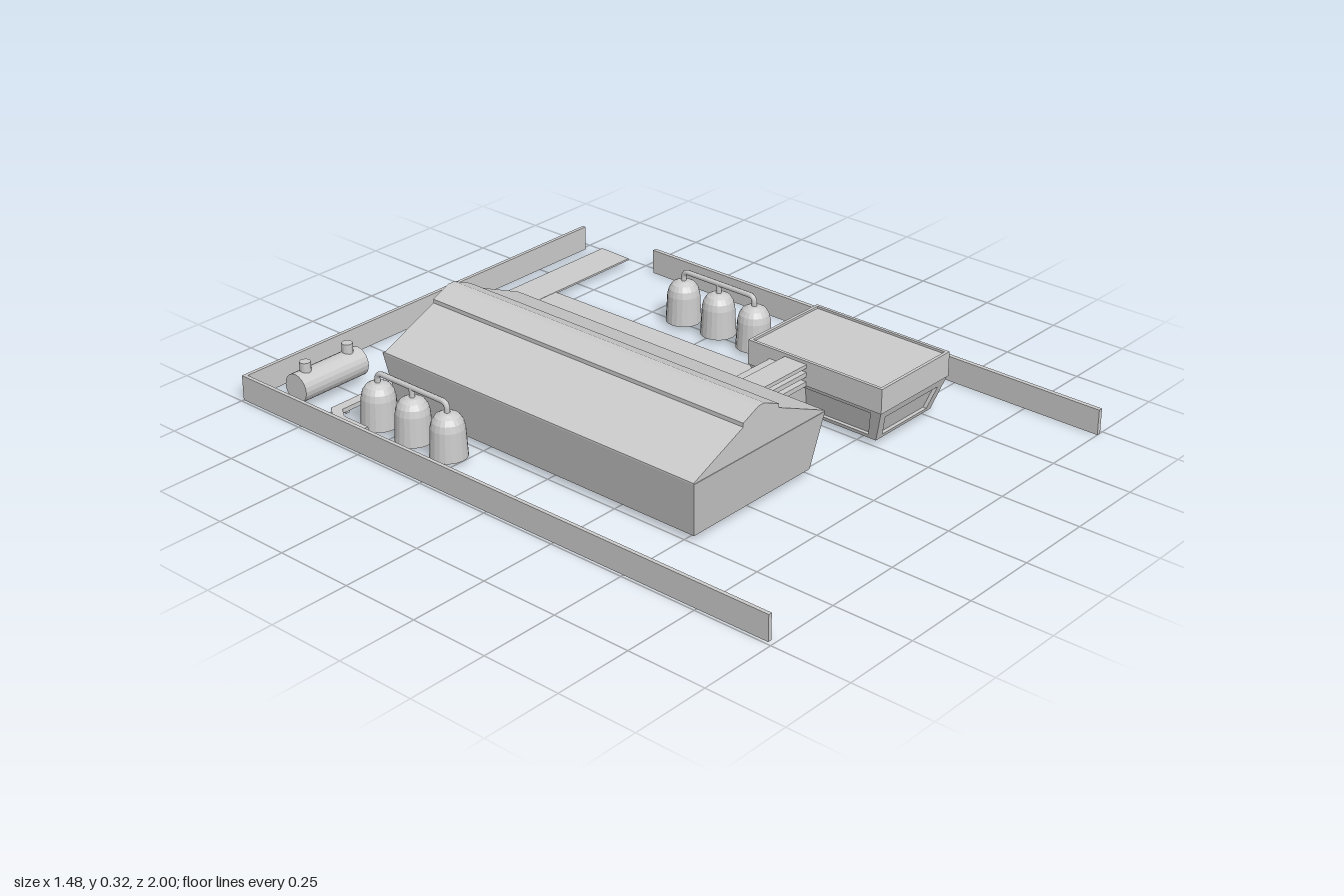
import * as THREE from 'three';

const mat = new THREE.MeshStandardMaterial({ color: 0xcccccc, flatShading: true, side: THREE.DoubleSide });
const smooth = new THREE.MeshStandardMaterial({ color: 0xcccccc, side: THREE.DoubleSide });

function add(parent, name, geo, m = mat) {
  const mesh = new THREE.Mesh(geo, m);
  mesh.name = name;
  parent.add(mesh);
  return mesh;
}

// Box given by its extents along each axis
function box(parent, name, x0, x1, y0, y1, z0, z1) {
  const g = new THREE.BoxGeometry(x1 - x0, y1 - y0, z1 - z0);
  g.translate((x0 + x1) / 2, (y0 + y1) / 2, (z0 + z1) / 2);
  return add(parent, name, g);
}

// Box whose base is drawn in by dx and dz
function taperedBox(parent, name, x0, x1, y0, y1, z0, z1, dx, dz) {
  const mesh = box(parent, name, x0, x1, y0, y1, z0, z1);
  const p = mesh.geometry.attributes.position;
  for (let i = 0; i < p.count; i++) {
    if (p.getY(i) > (y0 + y1) / 2) continue;
    p.setX(i, p.getX(i) + (p.getX(i) < (x0 + x1) / 2 ? dx : -dx));
    p.setZ(i, p.getZ(i) + (p.getZ(i) < (z0 + z1) / 2 ? dz : -dz));
  }
  mesh.geometry.computeVertexNormals();
  return mesh;
}

const shapeOf = (pts) => new THREE.Shape(pts.map(([x, y]) => new THREE.Vector2(x, y)));

// Flat plate drawn in plan as [x, z], with its top at y
function plate(parent, name, pts, y, depth) {
  const g = new THREE.ExtrudeGeometry(shapeOf(pts), { depth, bevelEnabled: false });
  g.rotateX(Math.PI / 2).translate(0, y, 0);
  return add(parent, name, g);
}

// Sloping wall with a trapezoid window, facing +z before it is turned
function windowWall(parent, halfB, halfT, outB, outT, winTop, angle) {
  const y0 = 0.02, y1 = 0.13;
  const s = shapeOf([[-halfB, y0], [halfB, y0], [halfT, y1], [-halfT, y1]]);
  const a = halfB - 0.025, b = halfB - 0.005;
  s.holes.push(shapeOf([[-a, 0.032], [-b, winTop], [b, winTop], [a, 0.032]]));
  const g = new THREE.ExtrudeGeometry(s, { depth: 0.012, bevelEnabled: false });
  const p = g.attributes.position;
  for (let i = 0; i < p.count; i++) {
    const t = (p.getY(i) - y0) / (y1 - y0);
    p.setZ(i, p.getZ(i) - 0.012 + outB + (outT - outB) * t);
  }
  g.computeVertexNormals();
  add(parent, 'windowWall', g).rotation.y = angle;
}

function mainHall() {
  const g = new THREE.Group();
  g.name = 'mainHall';
  taperedBox(g, 'hallWalls', -0.525, 0.025, 0.02, 0.197, -0.625, 0.555, 0.03, 0.025);
  // Gabled roof with a raised ridge section
  const half = [[0.275, 0.195], [0.275, 0.2], [0.075, 0.286], [0.075, 0.298], [0.012, 0.325]];
  const pts = [...half, ...half.map(([x, y]) => [-x, y]).reverse()];
  const roof = new THREE.ExtrudeGeometry(shapeOf(pts), { depth: 1.17, bevelEnabled: false });
  add(g, 'hallRoof', roof.translate(-0.25, 0, -0.617));
  // Side gate, rear door and stepped side equipment
  box(g, 'sideGate', -0.01, 0.05, 0.02, 0.11, -0.365, 0.08);
  box(g, 'rearDoor', -0.17, -0.05, 0.02, 0.11, -0.63, -0.58);
  for (let i = 0; i < 4; i++) {
    const z = -0.602 + i * 0.042;
    box(g, 'sideUnit', -0.01, 0.062 - (i % 2) * 0.006, 0.02, i === 2 ? 0.11 : 0.075, z, z + 0.038);
  }
  return g;
}

function annex() {
  const g = new THREE.Group();
  g.name = 'annex';
  for (let i = 0; i < 4; i++) {
    const args = i % 2 ? [0.205, 0.24, 0.13, 0.158, 0.115] : [0.13, 0.158, 0.205, 0.24, 0.102];
    windowWall(g, ...args, i * Math.PI / 2);
  }
  taperedBox(g, 'annexCore', -0.145, 0.145, 0.02, 0.13, -0.226, 0.226, 0.028, 0.034);
  // Flat roof behind a low parapet
  box(g, 'annexRoof', -0.158, 0.158, 0.127, 0.198, -0.238, 0.238);
  for (const s of [-1, 1]) {
    const x = s * 0.155, z = s * 0.2365;
    box(g, 'parapet', x - 0.005, x + 0.005, 0.127, 0.205, -0.2415, 0.2415);
    box(g, 'parapet', -0.16, 0.16, 0.127, 0.205, z - 0.005, z + 0.005);
  }
  g.position.set(0.38, 0, 0.3615);
  return g;
}

function bridge() {
  const g = new THREE.Group();
  g.name = 'linkBridge';
  taperedBox(g, 'bridgeBody', 0.0, 0.26, 0.02, 0.125, 0.215, 0.32, 0, 0.015);
  box(g, 'bridgeDeck', 0.0, 0.24, 0.125, 0.14, 0.2, 0.335);
  box(g, 'bridgeRail', 0.0, 0.24, 0.155, 0.17, 0.2, 0.25);
  box(g, 'bridgeRail', 0.0, 0.24, 0.155, 0.17, 0.285, 0.335);
  box(g, 'bridgeRoof', 0.0, 0.24, 0.183, 0.195, 0.255, 0.335);
  return g;
}

// Three domed tanks joined by an overhead pipe
function tankRow(x, zMid) {
  const g = new THREE.Group();
  g.name = 'tankRow';
  const profile = [[0, 0.015], [0.056, 0.015], [0.051, 0.105], [0.046, 0.125], [0.036, 0.14], [0.02, 0.149], [0, 0.151]];
  const tank = new THREE.LatheGeometry(profile.map(([r, y]) => new THREE.Vector2(r, y)), 20);
  for (const i of [-1, 0, 1]) add(g, 'tank', tank, mat).position.z = i * 0.141;
  const path = new THREE.CurvePath();
  const v = (y, z) => new THREE.Vector3(0, y, z);
  path.add(new THREE.LineCurve3(v(0.14, -0.141), v(0.16, -0.141)));
  path.add(new THREE.QuadraticBezierCurve3(v(0.16, -0.141), v(0.18, -0.141), v(0.18, -0.12)));
  path.add(new THREE.LineCurve3(v(0.18, -0.12), v(0.18, 0.12)));
  path.add(new THREE.QuadraticBezierCurve3(v(0.18, 0.12), v(0.18, 0.141), v(0.16, 0.141)));
  path.add(new THREE.LineCurve3(v(0.16, 0.141), v(0.14, 0.141)));
  add(g, 'overheadPipe', new THREE.TubeGeometry(path, 48, 0.0085, 8), smooth);
  add(g, 'middlePipe', new THREE.CylinderGeometry(0.0085, 0.0085, 0.04, 8).translate(0, 0.16, 0), smooth);
  g.position.set(x, 0, zMid);
  return g;
}

function lyingTank() {
  const g = new THREE.Group();
  g.name = 'lyingTank';
  add(g, 'tankBody', new THREE.CylinderGeometry(0.045, 0.045, 0.245, 20).rotateZ(Math.PI / 2));
  for (const s of [-1, 1])
    add(g, 'tankCap', new THREE.CylinderGeometry(0.017, 0.017, 0.04, 14).translate(s * 0.082, 0.053, 0));
  g.position.set(-0.552, 0.066, -0.84);
  return g;
}

export function createModel() {
  const model = new THREE.Group();
  model.name = 'industrialCompound';

  // Perimeter walls
  box(model, 'leftPerimeterWall', 0.724, 0.738, 0, 0.08, -0.695, 1);
  box(model, 'rightPerimeterWall', -0.741, -0.729, 0, 0.08, -1, 0.985);
  box(model, 'backPerimeterWall', -0.741, 0.718, 0, 0.08, -1, -0.988);

  model.add(mainHall(), annex(), bridge());
  model.add(tankRow(0.5, -0.229), tankRow(-0.6, -0.427), lyingTank());

  // Roads: curved access, straight branch and loading apron
  plate(model, 'accessRoad', [
    [-0.17, -0.6], [-0.165, -0.645], [-0.15, -0.72], [-0.105, -0.82], [0.01, -0.893], [0.11, -0.915],
    [0.72, -0.915], [0.715, -0.795], [0.06, -0.795], [-0.01, -0.745], [-0.045, -0.66], [-0.05, -0.6],
  ], 0.024, 0.006);
  plate(model, 'branchRoad', [[0.25, -0.8], [0.372, -0.8], [0.38, 0.2], [0.255, 0.2]], 0.023, 0.005);
  plate(model, 'loadingApron', [[0.0, -0.34], [0.26, -0.34], [0.26, 0.063], [0.0, 0.063]], 0.024, 0.006);

  // Low duct from the hall to the tanks, on short legs
  plate(model, 'duct', [
    [-0.705, -0.54], [-0.705, -0.65], [-0.66, -0.707], [-0.25, -0.707], [-0.222, -0.69], [-0.2, -0.6],
    [-0.235, -0.6], [-0.25, -0.66], [-0.265, -0.675], [-0.645, -0.675], [-0.67, -0.64], [-0.67, -0.54],
  ], 0.043, 0.014);
  for (let i = 0; i < 6; i++) {
    const x = -0.62 + i * 0.068;
    box(model, 'ductLeg', x - 0.006, x + 0.006, 0.018, 0.032, -0.7, -0.682);
  }

  // Small standing panel beside the road
  const panel = add(model, 'standingPanel', new THREE.BoxGeometry(0.045, 0.085, 0.01));
  panel.position.set(0.05, 0.0625, -0.665);
  panel.rotation.y = -0.35;
  return model;
}
